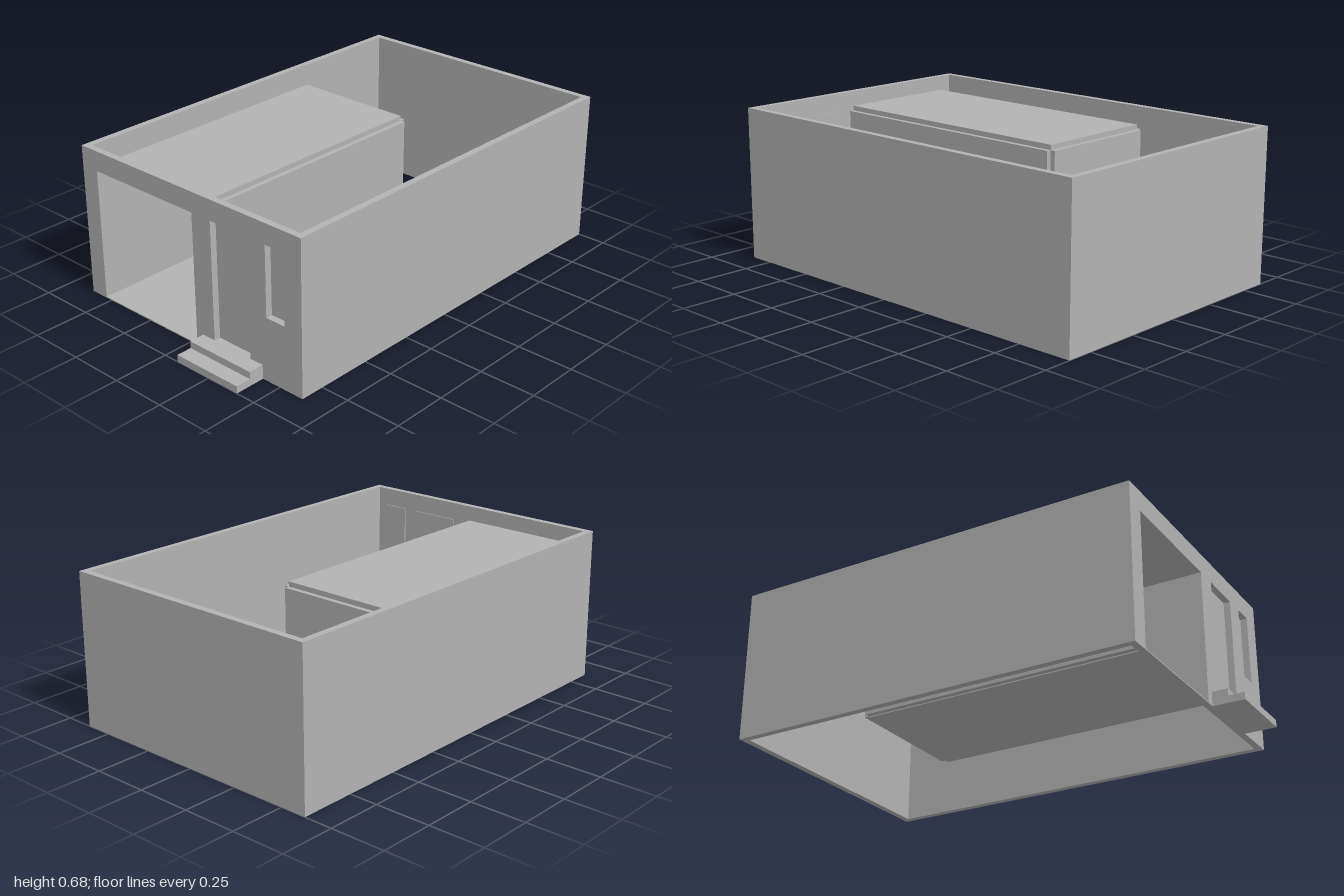
import * as THREE from 'three';

export function createModel() {
  const model = new THREE.Group();
  const grey = new THREE.MeshStandardMaterial({ color: 0xb2b2b2 });
  grey.name = 'plain grey';

  const X = 0.62, BACK = -1, FRONT = 0.86, T = 0.03, H = 0.683;
  const inner = FRONT - T;

  // Axis-aligned block given by its limits
  function block(name, x0, x1, y0, y1, z0, z1) {
    const mesh = new THREE.Mesh(new THREE.BoxGeometry(x1 - x0, y1 - y0, z1 - z0), grey);
    mesh.position.set((x0 + x1) / 2, (y0 + y1) / 2, (z0 + z1) / 2);
    mesh.name = name;
    model.add(mesh);
  }

  function rectangle(Path, x0, x1, y0, y1) {
    const path = new Path();
    path.moveTo(x0, y0);
    path.lineTo(x1, y0);
    path.lineTo(x1, y1);
    path.lineTo(x0, y1);
    path.closePath();
    return path;
  }

  // Openings in the front wall: x0, x1, y0, y1
  const garage = [-0.532, 0.037, 0.005, 0.593];
  const door = [0.14, 0.343, 0.062, 0.593];
  const windowOpening = [0.435, 0.53, 0.282, 0.593];

  // Front wall with garage, door and window cut out
  const facade = rectangle(THREE.Shape, -X, X, 0, H);
  for (const opening of [garage, door, windowOpening]) {
    facade.holes.push(rectangle(THREE.Path, ...opening));
  }
  const frontWall = new THREE.Mesh(
    new THREE.ExtrudeGeometry(facade, { depth: T, bevelEnabled: false }), grey);
  frontWall.position.z = inner;
  frontWall.name = 'frontWall';
  model.add(frontWall);

  // Remaining outer walls, open above and below
  block('leftWall', X - T, X, 0, H, BACK + T, inner);
  block('rightWall', -X, -X + T, 0, H, BACK + T, inner);
  block('backWall', -X, X, 0, H, BACK, BACK + T);

  // Thin panels closing the door and window from inside
  for (const [name, o] of [['doorPanel', door], ['windowPanel', windowOpening]]) {
    block(name, o[0] - 0.01, o[1] + 0.01, o[2] - 0.01, o[3] + 0.01, inner - 0.005, inner);
  }

  // Garage bay: each side is a slab set outside the clear space
  const [gx0, gx1, gy0, gy1] = garage;
  const gBack = -0.39, S = 0.022;
  block('garageFloor', gx0, gx1, 0, gy0, gBack, inner);
  block('garageRoof', gx0, gx1, gy1, gy1 + S, gBack, inner);
  block('garageRightWall', gx0 - S, gx0, gy0, gy1, gBack, inner);
  block('garageLeftWall', gx1, gx1 + S, gy0, gy1, gBack, inner);
  block('garageBackWall', gx0, gx1, gy0, gy1, gBack - S, gBack);

  // Two entrance steps
  block('lowerStep', 0.074, 0.409, 0, 0.032, FRONT, 1);
  block('upperStep', 0.074, 0.409, 0.032, 0.063, FRONT, 0.93);

  return model;
}
